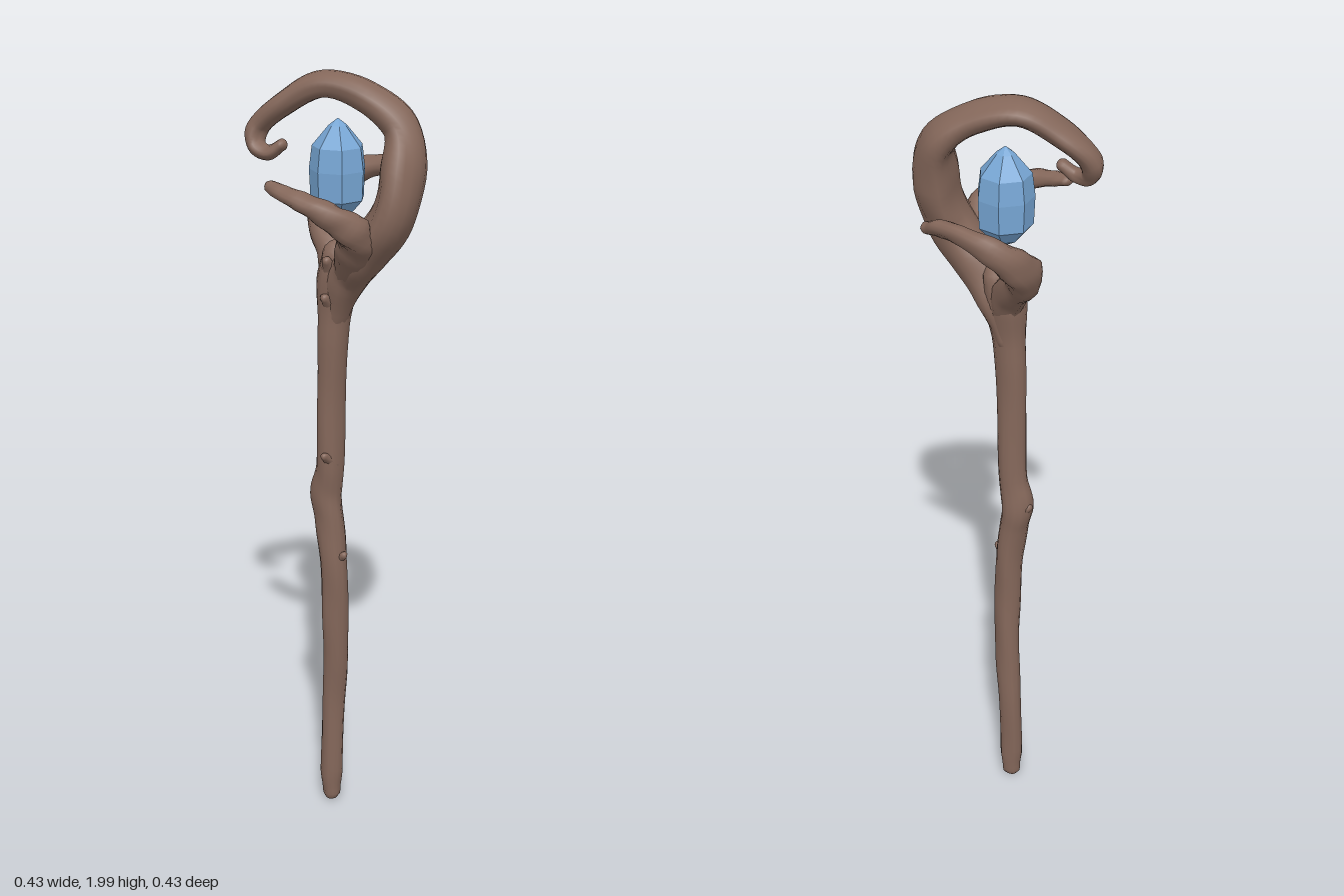
import * as THREE from 'three';

const wood = new THREE.MeshStandardMaterial({ color: 0x84675a });
wood.name = 'brown wood';
const blue = new THREE.MeshStandardMaterial({ color: 0x77a6d4 });
blue.name = 'blue crystal';

// Gnarled limb along stations [x, y, z, wideRadius, thinRadius]; "wide" is the axis of wideRadius
function limb(name, stations, wide, { steps = 6, sides = 14, bark = 0.05 } = {}) {
  const curve = new THREE.CatmullRomCurve3(stations.map(s => new THREE.Vector3(s[0], s[1], s[2])), false, 'centripetal');
  const last = stations.length - 1, count = last * steps;
  const rings = [];
  for (let i = 0; i <= count; i++) {
    const k = Math.min(Math.floor(i / steps), last - 1);
    const f = THREE.MathUtils.smoothstep(i / steps - k, 0, 1);
    const radius = c => THREE.MathUtils.lerp(stations[k][c], stations[k + 1][c], f);
    rings.push({ t: i / count, rw: radius(3), rt: radius(4), push: 0, scale: 1 });
  }
  // Rounded ends
  for (const q of [0.35, 0.7, 0.9, 1]) {
    const scale = Math.sqrt(1 - q * q);
    rings.unshift({ ...rings.find(r => r.scale === 1), push: -q, scale });
    rings.push({ ...rings.findLast(r => r.scale === 1), push: q, scale });
  }
  const pos = [], index = [];
  rings.forEach(({ t, rw, rt, push, scale }, i) => {
    const T = curve.getTangent(t);
    const N = wide.clone().addScaledVector(T, -wide.dot(T)).normalize();
    const B = T.clone().cross(N);
    const centre = curve.getPoint(t).addScaledVector(T, push * Math.min(rw, rt));
    for (let j = 0; j < sides; j++) {
      const a = (j / sides) * Math.PI * 2;
      const rough = 1 + bark * (Math.sin(3 * a + 9 * t) + 0.7 * Math.sin(5 * a - 14 * t + 1) + 0.5 * Math.sin(2 * a + 47 * t));
      const p = centre.clone()
        .addScaledVector(N, Math.cos(a) * rw * scale * rough)
        .addScaledVector(B, Math.sin(a) * rt * scale * rough);
      pos.push(p.x, p.y, p.z);
      if (i < rings.length - 1) {
        const a0 = i * sides + j, b0 = i * sides + (j + 1) % sides;
        index.push(a0, b0, a0 + sides, b0, b0 + sides, a0 + sides);
      }
    }
  });
  const geo = new THREE.BufferGeometry();
  geo.setAttribute('position', new THREE.Float32BufferAttribute(pos, 3));
  geo.setIndex(index);
  geo.computeVertexNormals();
  const mesh = new THREE.Mesh(geo, wood);
  mesh.name = name;
  return mesh;
}

export function createModel() {
  const group = new THREE.Group();
  group.name = 'staff';
  const Z = new THREE.Vector3(0, 0, 1), Y = new THREE.Vector3(0, 1, 0);

  // Crooked shaft with a swollen knot
  group.add(limb('shaft', [
    [-0.05, 0.025, 0, 0.024, 0.025],
    [-0.05, 0.1, 0, 0.029, 0.03],
    [-0.048, 0.3, -0.006, 0.029, 0.031],
    [-0.037, 0.45, -0.003, 0.031, 0.033],
    [-0.032, 0.6, 0.003, 0.033, 0.035],
    [-0.033, 0.74, 0.006, 0.036, 0.035],
    [-0.045, 0.85, 0.007, 0.037, 0.036],
    [-0.056, 0.92, 0.008, 0.037, 0.042],
    [-0.044, 1.0, 0.008, 0.037, 0.036],
    [-0.041, 1.2, 0.008, 0.036, 0.034],
    [-0.033, 1.38, 0.008, 0.039, 0.04],
    [-0.022, 1.5, 0.002, 0.054, 0.05],
    [-0.01, 1.56, 0, 0.05, 0.04],
  ], Z));

  // Great crook sweeping over the crystal and curling at its tip
  group.add(limb('crook', [
    [-0.03, 1.4, 0.005, 0.036, 0.036],
    [0.012, 1.51, 0.004, 0.055, 0.052],
    [0.08, 1.585, 0.01, 0.072, 0.055],
    [0.145, 1.67, 0.0, 0.088, 0.052],
    [0.155, 1.77, -0.03, 0.085, 0.053],
    [0.125, 1.875, -0.058, 0.062, 0.042],
    [0.05, 1.94, -0.025, 0.056, 0.034],
    [-0.045, 1.965, 0.022, 0.053, 0.031],
    [-0.125, 1.918, 0.07, 0.048, 0.028],
    [-0.185, 1.855, 0.105, 0.036, 0.026],
    [-0.172, 1.815, 0.12, 0.028, 0.021],
    [-0.135, 1.805, 0.118, 0.022, 0.017],
    [-0.105, 1.826, 0.105, 0.018, 0.014],
  ], new THREE.Vector3(0.5, 0, 0.865), { sides: 18 }));

  // Two prongs cradling the crystal
  group.add(limb('frontProng', [
    [0.03, 1.53, 0.02, 0.04, 0.04],
    [0.09, 1.6, 0.06, 0.05, 0.05],
    [0.125, 1.655, 0.105, 0.042, 0.042],
    [0.1, 1.695, 0.152, 0.032, 0.034],
    [0.04, 1.725, 0.182, 0.023, 0.028],
    [-0.02, 1.74, 0.188, 0.018, 0.023],
    [-0.06, 1.748, 0.185, 0.014, 0.018],
  ], Y));
  group.add(limb('backProng', [
    [-0.025, 1.47, 0, 0.038, 0.038],
    [-0.06, 1.545, -0.025, 0.046, 0.042],
    [-0.125, 1.61, -0.06, 0.05, 0.042],
    [-0.145, 1.665, -0.115, 0.042, 0.036],
    [-0.118, 1.715, -0.165, 0.032, 0.032],
    [-0.05, 1.74, -0.186, 0.022, 0.028],
    [0.01, 1.742, -0.187, 0.019, 0.026],
    [0.058, 1.728, -0.182, 0.014, 0.016],
  ], Z.clone().add(Y)));

  // Broken twig stubs
  const stubs = [
    [[-0.03, 0.74, 0.005], [0.005, 0.765, 0.01], 0.016],
    [[-0.03, 1.02, 0.015], [-0.022, 1.045, 0.052], 0.015],
    [[-0.025, 1.43, 0.02], [-0.015, 1.46, 0.055], 0.018],
    [[-0.02, 1.52, 0.03], [-0.005, 1.555, 0.058], 0.018],
    [[-0.06, 0.895, 0.008], [-0.09, 0.925, 0.008], 0.02],
  ];
  stubs.forEach(([from, to, r], i) => {
    group.add(limb('twigStub' + (i + 1), [[...from, r * 1.4, r * 1.4], [...to, r * 0.65, r * 0.65]],
      new THREE.Vector3(0.3, 1, -0.5), { steps: 3, sides: 8 }));
  });

  // Faceted crystal with a point at each end
  const profile = [[0, 1.64], [0.035, 1.66], [0.066, 1.695], [0.069, 1.765], [0.062, 1.82], [0.022, 1.868], [0, 1.885]]
    .map(([r, y]) => new THREE.Vector2(r, y));
  const gem = new THREE.LatheGeometry(profile, 7).toNonIndexed();
  gem.computeVertexNormals();
  const crystal = new THREE.Mesh(gem, blue);
  crystal.name = 'crystal';
  crystal.position.set(-0.022, 0, 0);
  group.add(crystal);

  return group;
}
